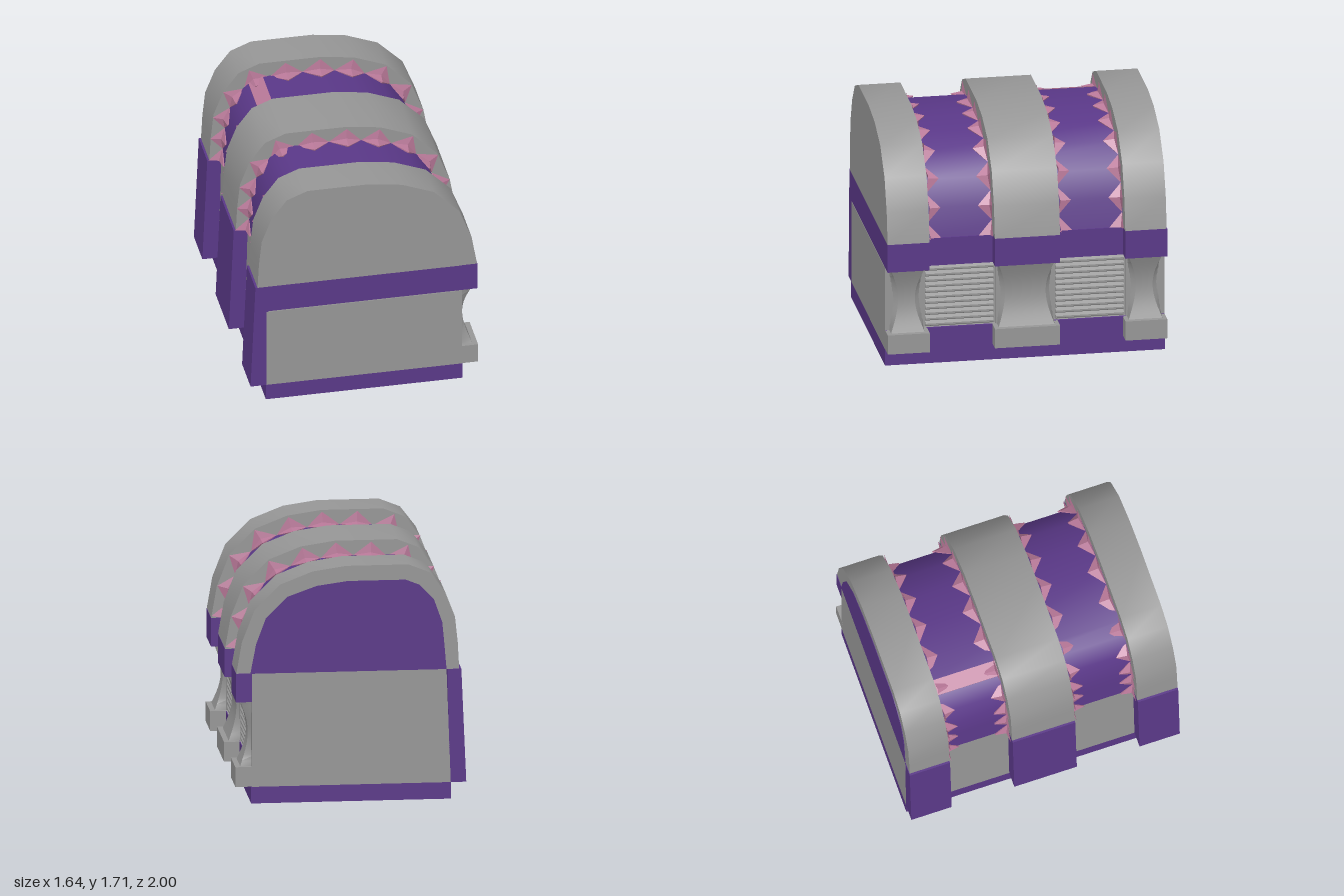
import * as THREE from 'three';
import { toCreasedNormals } from 'three/addons/utils/BufferGeometryUtils.js';

export function createModel() {
  const model = new THREE.Group();
  const mat = (name, color) => {
    const m = new THREE.MeshStandardMaterial({ color });
    m.name = name;
    return m;
  };
  const grey = mat('stone grey', 0x969696);
  const purple = mat('deep purple', 0x5a3888);
  const pink = mat('dusty pink', 0xb87898);

  const add = (name, geo, material) => {
    const mesh = new THREE.Mesh(geo, material);
    mesh.name = name;
    model.add(mesh);
    return mesh;
  };
  // box given by its limits
  const box = (name, material, x0, x1, y0, y1, z0, z1) => {
    const g = new THREE.BoxGeometry(x1 - x0, y1 - y0, z1 - z0);
    g.translate((x0 + x1) / 2, (y0 + y1) / 2, (z0 + z1) / 2);
    return add(name, g, material);
  };
  // x-y outline pushed from z0 to z1
  const slab = (name, material, pts, z0, z1) => {
    const shape = new THREE.Shape(pts.map(p => new THREE.Vector2(p[0], p[1])));
    const g = new THREE.ExtrudeGeometry(shape, { depth: z1 - z0, bevelEnabled: false });
    g.translate(0, 0, z0);
    return add(name, toCreasedNormals(g, 0.6), material);
  };

  const outer = [[0.81, 0.94], [0.77, 1.17], [0.68, 1.40], [0.5, 1.58], [0.27, 1.67], [0.03, 1.705],
    [-0.41, 1.705], [-0.56, 1.645], [-0.67, 1.5], [-0.74, 1.32], [-0.76, 1.13], [-0.77, 0.94]];
  const inner = [[0.71, 0.94], [0.67, 1.15], [0.6, 1.34], [0.45, 1.49], [0.24, 1.565], [0.02, 1.595],
    [-0.39, 1.595], [-0.49, 1.555], [-0.59, 1.45], [-0.65, 1.28], [-0.665, 1.12], [-0.68, 0.94]];
  const bands = [[0.7, 1], [-0.233, 0.233], [-1, -0.7]];
  const gaps = [[0.233, 0.7], [-0.7, -0.233]];

  // base and body
  box('base', purple, -0.71, 0.705, 0, 0.12, -1, 1);
  slab('body', grey, [[-0.71, 0.12], [0.7, 0.12], [0.7, 0.265], [0.67, 0.265], [0.67, 0.73],
    [0.7, 0.73], [0.7, 0.94], [-0.68, 0.94]], -1, 0.994);
  box('frontPanel', grey, -0.705, 0.7, 0.12, 0.73, 0.993, 1);
  box('frontRail', purple, -0.69, 0.75, 0.735, 0.94, 0.993, 1);
  box('sideRail', purple, 0.69, 0.72, 0.735, 0.94, -0.999, 0.999);
  box('lowerSideRail', purple, 0.69, 0.706, 0.12, 0.265, -0.999, 0.999);

  // roof, arched bands and the posts under them
  slab('roof', purple, inner, -0.75, 0.75);
  bands.forEach(([z0, z1], i) => {
    slab('archBand', grey, outer, i === 2 ? -0.996 : z0, z1);
    slab('leftPost', purple, [[-0.82, 0.12], [-0.705, 0.12], [-0.685, 0.94], [-0.785, 0.94]], z0, z1);
    box('railBlock', purple, 0.7, 0.812, 0.735, 0.942, z0, z1);
    box('plinth', grey, 0.69, 0.817, 0.122, 0.265, z0, z1);
  });
  slab('backArchPanel', purple, inner, -1, -0.99);

  // loose roof plank
  slab('plank', pink, [[-0.39, 1.59], [-0.388, 1.602], [-0.492, 1.561], [-0.49, 1.55]], -0.7, -0.233);

  // waisted columns on the left side of the chest
  function column(zc, half, waist) {
    const n = 12, pos = [], idx = [];
    for (let i = 0; i <= n; i++) {
      const t = i / n;
      const k = Math.sin(Math.PI * t);
      const y = 0.265 + 0.47 * t, x = 0.78 - 0.06 * k, h = half - (half - waist) * k;
      pos.push(0.68, y, zc + half, x, y, zc + h, x, y, zc - h, 0.68, y, zc - half);
      if (i < n) for (let j = 0; j < 3; j++) {
        const a = i * 4 + j, b = a + 1, c = a + 4, d = a + 5;
        idx.push(a, b, d, a, d, c);
      }
    }
    const g = new THREE.BufferGeometry();
    g.setAttribute('position', new THREE.Float32BufferAttribute(pos, 3));
    g.setIndex(idx);
    add('column', toCreasedNormals(g, 0.5), grey);
  }
  column(0, 0.2, 0.145);
  column(0.85, 0.12, 0.06);
  column(-0.85, 0.12, 0.06);
  box('columnBacking', grey, 0.66, 0.7, 0.26, 0.74, -0.21, 0.21);
  box('columnBacking', grey, 0.66, 0.7, 0.26, 0.74, 0.725, 0.999);
  box('columnBacking', grey, 0.66, 0.7, 0.26, 0.74, -0.999, -0.725);

  // louvred grilles between the columns
  const saw = [[0.66, 0.268]];
  const slats = 11, step = 0.455 / slats;
  for (let i = 0; i < slats; i++) {
    const y = 0.268 + i * step;
    saw.push([0.675, y], [0.698, y + step * 0.3], [0.698, y + step * 0.6]);
  }
  saw.push([0.675, 0.723], [0.66, 0.723]);
  gaps.forEach(([z0, z1]) => slab('grille', grey, saw, z0 - 0.01, z1 + 0.01));

  // teeth folded into the corner between each band and the roof
  const tips = [[0.71, 0.94], [0.67, 1.15], [0.6, 1.34], [0.45, 1.49], [0.24, 1.565], [0.02, 1.595],
    [-0.22, 1.595], [-0.45, 1.572], [-0.59, 1.45], [-0.65, 1.28], [-0.665, 1.12], [-0.68, 0.94]]
    .map(p => new THREE.Vector2(p[0], p[1]));
  function teeth(z, dir) {
    const pos = [];
    tips.forEach((p, i) => {
      const prev = tips[Math.max(i - 1, 0)], next = tips[Math.min(i + 1, tips.length - 1)];
      const n = next.clone().sub(prev).normalize();
      n.set(n.y, -n.x);
      const at = (q, lift, out) => [q.x + n.x * lift, q.y + n.y * lift, z + dir * out];
      const a = at(p.clone().lerp(prev, 0.5), 0.004, 0.003);
      const b = at(p.clone().lerp(next, 0.5), 0.004, 0.003);
      const wall = at(p, 0.1, 0.012), roof = at(p, 0.012, 0.1), mid = at(p, 0.025, 0.02);
      const foot = at(p, -0.01, 0.09);
      const faces = [[a, mid, wall], [mid, b, wall], [a, roof, mid], [mid, roof, b],
        [a, foot, roof], [roof, foot, b]];
      for (const f of faces) pos.push(...(dir > 0 ? f : [f[0], f[2], f[1]]).flat());
    });
    const g = new THREE.BufferGeometry();
    g.setAttribute('position', new THREE.Float32BufferAttribute(pos, 3));
    g.computeVertexNormals();
    add('teeth', g, toothMaterial);
  }
  const toothMaterial = pink;
  toothMaterial.side = THREE.DoubleSide;
  gaps.forEach(([z0, z1]) => {
    teeth(z0, 1);
    teeth(z1, -1);
  });

  return model;
}
